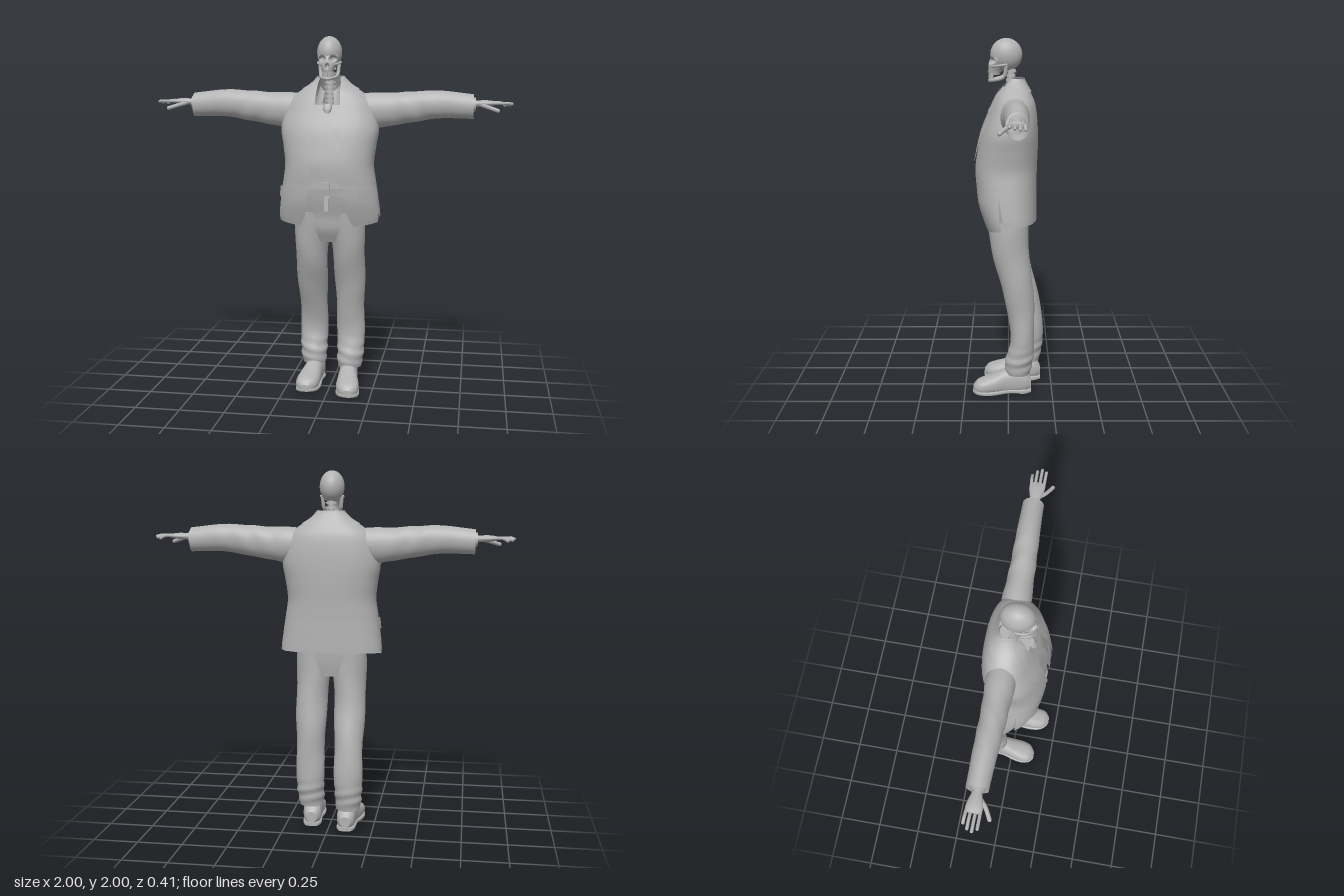
import * as THREE from 'three';

const grey = new THREE.MeshStandardMaterial({ color: 0xb2b2b2, side: THREE.DoubleSide });
grey.name = 'plain grey';

const spow = (v, p) => Math.sign(v) * Math.abs(v) ** p;
const mix = THREE.MathUtils.lerp;

// Smooth lookup in a table whose first column is the position
function track(rows) {
  const n = rows[0].length - 1;
  const c = new THREE.CubicInterpolant(rows.map(r => r[0]), rows.flatMap(r => r.slice(1)), n, new Float32Array(n));
  return t => Array.from(c.evaluate(t));
}

// Surface from f(u, v); u may close on itself
function grid(nu, nv, f, closed = false) {
  const pos = [], idx = [], cols = closed ? nu : nu + 1;
  for (let j = 0; j <= nv; j++) for (let i = 0; i < cols; i++) pos.push(...f(i / nu, j / nv, j));
  for (let j = 0; j < nv; j++) for (let i = 0; i < nu; i++) {
    const k = (i + 1) % cols, a = j * cols + i, b = j * cols + k;
    idx.push(a, a + cols, b, b, a + cols, b + cols);
  }
  const g = new THREE.BufferGeometry();
  g.setAttribute('position', new THREE.Float32BufferAttribute(pos, 3));
  g.setIndex(idx);
  g.computeVertexNormals();
  return g;
}

// Closed loft along an axis; rows are [t, centreA, centreB, radiusA, radiusB]
// (a, b) is (x, z) for axis y, (z, y) for axis x and (y, x) for axis z
function loft(axis, rows, { nu = 32, nv = 32, p = 1, caps = true, fold = () => 0, rule = q => q } = {}) {
  const at = track(rows), t0 = rows[0][0], t1 = rows[rows.length - 1][0], n = caps ? nv + 4 : nv;
  return grid(nu, n, (u, v, j) => {
    const s = caps ? THREE.MathUtils.clamp((j - 2) / nv, 0, 1) : v;
    const t = mix(t0, t1, s), [ca, cb, ra, rb] = at(t), th = u * Math.PI * 2;
    const k = caps && (j === 0 || j === n) ? 0 : 1 + fold(t, th);
    const a = ca + ra * k * spow(Math.cos(th), p), b = cb + rb * k * spow(Math.sin(th), p);
    return rule(axis === 'y' ? [a, t, b] : axis === 'x' ? [t, b, a] : [b, a, t]);
  }, true);
}

// Jacket profile: y, half width, front z, back z, half opening
const P = 0.8;
const coat = track([
  [0.96, 0.27, 0.115, -0.15, 0.15], [1.0, 0.278, 0.13, -0.153, 0.125], [1.1, 0.272, 0.165, -0.155, 0.105],
  [1.2, 0.26, 0.18, -0.156, 0.092], [1.3, 0.247, 0.185, -0.158, 0.082], [1.4, 0.258, 0.17, -0.162, 0.082],
  [1.5, 0.272, 0.145, -0.162, 0.085], [1.6, 0.25, 0.105, -0.155, 0.077], [1.66, 0.22, 0.08, -0.143, 0.072],
  [1.7, 0.175, 0.06, -0.125, 0.07], [1.74, 0.11, 0.03, -0.102, 0.065], [1.78, 0.068, 0.0, -0.08, 0.055]]);

function coatPoint(th, y, off = 0) {
  const [w, f, b] = coat(y);
  return [(w + off) * spow(Math.sin(th), P), y, (f + b) / 2 + ((f - b) / 2 + off) * spow(Math.cos(th), P)];
}
const openAngle = y => { const [w, , , g] = coat(y); return Math.asin(Math.min(1, (g / w) ** (1 / P))); };

// Panel of the jacket between two angles; either may depend on y
const panel = (a, b, y0, y1, off = 0, nu = 24, nv = 16) => grid(nu, nv, (u, v) => {
  const y = mix(y0, y1, v);
  return coatPoint(mix(b(y), a(y), u), y, off);
});

// Cloth laid over the chest; rows are [y, x start, x end]
function drape(rows, off, nu = 6, nv = 24) {
  const top = rows[0][0], end = rows[rows.length - 1][0];
  return grid(nu, nv, (u, v) => {
    const y = mix(top, end, v), i = Math.max(1, rows.findIndex(r => r[0] <= y + 1e-6));
    const [ya, a0, a1] = rows[i - 1], [yb, b0, b1] = rows[i], k = (y - ya) / (yb - ya);
    const x = mix(mix(a0, b0, k), mix(a1, b1, k), u), [w, f, b] = coat(y);
    const c = Math.min(1, (Math.abs(x) / w) ** (1 / P));
    return [x, y, (f + b) / 2 + (f - b) / 2 * (1 - c * c) ** (P / 2) + off];
  });
}

export function createModel() {
  const model = new THREE.Group();
  model.name = 'skeletonInSuit';
  const add = (name, geo, parent = model) => {
    const m = new THREE.Mesh(geo, grey);
    m.name = name;
    parent.add(m);
    return m;
  };
  const rod = (name, pts, r, parent) => {
    const c = new THREE.CatmullRomCurve3(pts.map(q => new THREE.Vector3(...q)));
    add(name, new THREE.TubeGeometry(c, 20, r, 8), parent);
    for (const q of [pts[0], pts[pts.length - 1]]) add(name + 'End', new THREE.SphereGeometry(r, 10, 8).translate(...q), parent);
  };

  // Skull, with eye sockets and nose hollow pressed in
  const hollows = [[0.031, 1.878, 0.021, 0.018, 0.04], [-0.031, 1.878, 0.021, 0.018, 0.04], [0, 1.838, 0.011, 0.017, 0.025]];
  const carve = ([x, y, z]) => {
    if (z > 0.03) for (const [hx, hy, rx, ry, depth] of hollows) {
      const d = ((x - hx) / rx) ** 2 + ((y - hy) / ry) ** 2;
      if (d < 1) z -= depth * (1 - d * d);
    }
    return [x, y, z];
  };
  const cranium = new THREE.SphereGeometry(1, 72, 56).scale(0.068, 0.088, 0.087).translate(0, 1.912, 0.012);
  const cp = cranium.attributes.position;
  for (let i = 0; i < cp.count; i++) cp.setXYZ(i, ...carve([cp.getX(i), cp.getY(i), cp.getZ(i)]));
  cranium.computeVertexNormals();
  add('cranium', cranium);
  add('face', loft('y', [[1.802, 0, 0.078, 0.028, 0.03], [1.825, 0, 0.075, 0.034, 0.037], [1.85, 0, 0.066, 0.044, 0.044],
    [1.88, 0, 0.055, 0.056, 0.048], [1.91, 0, 0.04, 0.058, 0.05]], { nu: 72, nv: 40, rule: carve }));
  rod('jaw', [[-0.053, 1.85, 0.012], [-0.047, 1.795, 0.025], [-0.032, 1.777, 0.075], [0, 1.772, 0.102],
    [0.032, 1.777, 0.075], [0.047, 1.795, 0.025], [0.053, 1.85, 0.012]], 0.01);
  for (let row = 0; row < 2; row++) for (let i = -4; i <= 4; i++) {
    const a = i * 0.3;
    add('tooth', new THREE.BoxGeometry(0.0075, 0.014, 0.007).rotateY(a)
      .translate(0.029 * Math.sin(a), 1.803 - row * 0.015, 0.076 + 0.029 * Math.cos(a)));
  }
  for (const s of [-1, 1])
    rod('cheekbone', [[s * 0.032, 1.848, 0.09], [s * 0.054, 1.853, 0.062], [s * 0.062, 1.86, 0.01]], 0.007);

  // Neck bones
  for (let i = 0; i < 10; i++) {
    const y = 1.6 + i * 0.025, z = -0.018 + 0.012 * Math.sin(i * 0.35);
    add('vertebra', new THREE.CylinderGeometry(0.023, 0.025, 0.018, 16).translate(0, y, z));
    add('neckDisc', new THREE.CylinderGeometry(0.017, 0.017, 0.012, 12).translate(0, y + 0.0125, z));
    add('vertebraWing', new THREE.BoxGeometry(0.062, 0.009, 0.014).translate(0, y, z - 0.012));
  }

  // Shirt, collar and tie
  const shirtRows = [1.14, 1.2, 1.3, 1.4, 1.5, 1.58, 1.63].map(y => {
    const [w, f, b] = coat(y);
    return [y, 0, (f + b) / 2, w * 0.92, (f - b) / 2 - 0.016];
  });
  add('shirt', loft('y', shirtRows, { nu: 48, p: P, fold: (t, a) => 0.006 * Math.sin(t * 42 + 5 * a) }));
  add('shirtCollar', grid(28, 5, (u, v) => {
    const a = mix(5.85, 0.43, u), r = mix(0.088, 0.056, v);
    return [r * Math.sin(a), mix(1.61, 1.735 - 0.04 * Math.cos(a) ** 2 * (Math.cos(a) > 0), v), -0.02 + (r + 0.015 * (1 - v)) * Math.cos(a)];
  }));
  add('shirtPlacket', drape([[1.56, -0.03, -0.01], [1.2, -0.025, -0.003]], -0.011));
  add('tie', drape([[1.6, -0.014, 0.014], [1.56, -0.012, 0.018], [1.29, 0.004, 0.082], [1.245, 0.046, 0.056]], -0.002));
  add('tieKnot', loft('y', [[1.585, 0, 0.1, 0.013, 0.014], [1.61, 0, 0.093, 0.024, 0.018], [1.635, 0, 0.08, 0.022, 0.016]], { nu: 16, nv: 8 }));

  // Jacket: upper shell, split skirt, collar, lapels and flaps
  add('jacketBody', panel(openAngle, y => 2 * Math.PI - openAngle(y), 1.2, 1.78, 0, 72, 44));
  add('jacketBackSkirt', grid(48, 12, (u, v) => {
    const y = mix(1.012, 1.2, v);
    return coatPoint(mix(4.86, 1.42, u), y, 0.004 * (1 - v));
  }));
  add('jacketCollar', panel(() => 0.95, () => 5.33, 1.715, 1.785, 0.009, 32, 8));
  for (const s of [1, -1]) {
    const side = new THREE.Group();
    side.name = s > 0 ? 'leftJacketFront' : 'rightJacketFront';
    side.scale.x = s;
    model.add(side);
    add('frontSkirt', grid(18, 14, (u, v) => {
      const y0 = 0.965 + 0.025 * u * 0.8, y = mix(y0, 1.2, v);
      return coatPoint(mix(openAngle(y), 1.42 - 0.13 * (1 - v), u), y, 0.009 * (1 - v));
    }), side);
    add('upperLapel', drape([[1.745, 0.062, 0.085], [1.69, 0.067, 0.125], [1.63, 0.07, 0.158], [1.605, 0.072, 0.12]], 0.009), side);
    add('lowerLapel', drape([[1.605, 0.072, 0.12], [1.58, 0.074, 0.178], [1.5, 0.08, 0.16], [1.34, 0.08, 0.09]], 0.01), side);
    add('pocketFlap', panel(() => 0.62, () => 1.3, 1.125, 1.185, 0.012, 10, 4), side);
  }

  // Sleeves and hands
  for (const s of [1, -1]) {
    const arm = new THREE.Group();
    arm.name = s > 0 ? 'leftArm' : 'rightArm';
    arm.scale.x = s;
    model.add(arm);
    add('sleeve', loft('x', [[0.13, -0.035, 1.615, 0.07, 0.07], [0.24, -0.035, 1.597, 0.077, 0.098], [0.32, -0.035, 1.602, 0.071, 0.092],
      [0.45, -0.036, 1.617, 0.066, 0.085], [0.6, -0.04, 1.632, 0.062, 0.076], [0.72, -0.043, 1.626, 0.058, 0.07],
      [0.785, -0.044, 1.621, 0.057, 0.067]], { nu: 40, nv: 60, caps: false,
      fold: (t, a) => 0.03 * Math.sin(t * 48 + 2 * a) * Math.sin(a + 2) * Math.exp(-(((t - 0.45) / 0.15) ** 2)) }), arm);
    add('shirtCuff', loft('x', [[0.74, -0.042, 1.63, 0.04, 0.042], [0.797, -0.042, 1.632, 0.037, 0.038]], { nv: 4, caps: false }), arm);
    add('palm', loft('x', [[0.7, -0.04, 1.635, 0.024, 0.02], [0.8, -0.04, 1.637, 0.025, 0.018], [0.85, -0.04, 1.639, 0.038, 0.018],
      [0.885, -0.04, 1.64, 0.043, 0.014], [0.905, -0.04, 1.64, 0.04, 0.009]], { nu: 20, nv: 14 }), arm);
    [[-0.073, 0.955, 1.628], [-0.051, 0.98, 1.632], [-0.028, 0.99, 1.638], [-0.006, 0.975, 1.642]].forEach(([z, tip, y]) =>
      rod('finger', [[0.88, z, 0], [0.93, z * 1.06, 0], [tip, z * 1.08, 0]].map(([x, fz], i) => [x, i === 2 ? y : 1.641, fz]), 0.0085, arm));
    rod('thumb', [[0.825, 1.632, -0.022], [0.865, 1.62, 0.012], [0.915, 1.604, 0.04]], 0.011, arm);
  }

  // Trousers and belt
  add('trouserSeat', loft('y', [[0.87, 0, -0.01, 0.14, 0.085], [0.94, 0, 0, 0.18, 0.108], [1.02, 0, 0.003, 0.196, 0.118],
    [1.1, 0, 0.012, 0.205, 0.13], [1.2, 0, 0.018, 0.21, 0.142]], { nu: 40, nv: 20, p: 0.9 }));
  add('trouserFly', new THREE.BoxGeometry(0.025, 0.13, 0.008).rotateX(-0.1).translate(0.004, 1.12, 0.147));
  add('belt', loft('y', [[1.18, 0, 0.018, 0.214, 0.15], [1.215, 0, 0.018, 0.214, 0.15]], { nu: 40, nv: 2, p: 0.9 }));
  add('beltBuckle', new THREE.BoxGeometry(0.05, 0.04, 0.012).translate(0, 1.198, 0.169));

  // Legs and shoes; the right leg stands further back
  for (const s of [1, -1]) {
    const leg = new THREE.Group(), back = s > 0 ? 0 : -0.058;
    leg.name = s > 0 ? 'leftLeg' : 'rightLeg';
    leg.scale.x = s;
    model.add(leg);
    add('trouserLeg', loft('y', [[0.115, 0.108, -0.055, 0.066, 0.068], [0.16, 0.11, -0.055, 0.074, 0.076], [0.21, 0.112, -0.064, 0.078, 0.076],
      [0.3, 0.112, -0.078, 0.08, 0.068], [0.45, 0.11, -0.072, 0.079, 0.073], [0.6, 0.11, -0.055, 0.085, 0.087],
      [0.8, 0.106, -0.015, 0.091, 0.1], [0.95, 0.1, 0.0, 0.097, 0.112], [1.04, 0.1, 0.004, 0.094, 0.114]], { nu: 36, nv: 90,
      fold: (t, a) => 0.05 * Math.sin(t * 95 + 2 * Math.sin(a + s)) * Math.exp(-(((t - 0.19) / 0.06) ** 2))
        + 0.018 * Math.sin(t * 22 + 2 * a),
      rule: ([x, y, z]) => [x, y, z + back * (1 - THREE.MathUtils.smoothstep(y, 0.3, 0.75))] }), leg);
    const shoe = new THREE.Group();
    shoe.name = 'shoe';
    shoe.position.z = back;
    leg.add(shoe);
    add('shoeUpper', loft('z', [[-0.128, 0.055, 0.1, 0.03, 0.03], [-0.1, 0.065, 0.1, 0.06, 0.048], [-0.05, 0.07, 0.102, 0.075, 0.052],
      [0.02, 0.065, 0.107, 0.07, 0.054], [0.08, 0.054, 0.114, 0.056, 0.062], [0.14, 0.045, 0.12, 0.046, 0.064],
      [0.18, 0.04, 0.124, 0.034, 0.048], [0.2, 0.036, 0.126, 0.014, 0.02]], { p: 0.85, rule: ([x, y, z]) => [x, Math.max(0.016, y), z] }), shoe);
    add('sole', loft('z', [[-0.13, 0.014, 0.1, 0.01, 0.036], [-0.1, 0.014, 0.1, 0.012, 0.05], [0, 0.016, 0.106, 0.011, 0.052],
      [0.09, 0.012, 0.115, 0.012, 0.067], [0.15, 0.013, 0.121, 0.012, 0.064], [0.185, 0.016, 0.125, 0.011, 0.046],
      [0.202, 0.019, 0.127, 0.009, 0.022]], { p: 0.4 }), shoe);
    add('heel', new THREE.CylinderGeometry(0.047, 0.046, 0.024, 24).translate(0.1, 0.012, -0.08), shoe);
  }
  return model;
}
